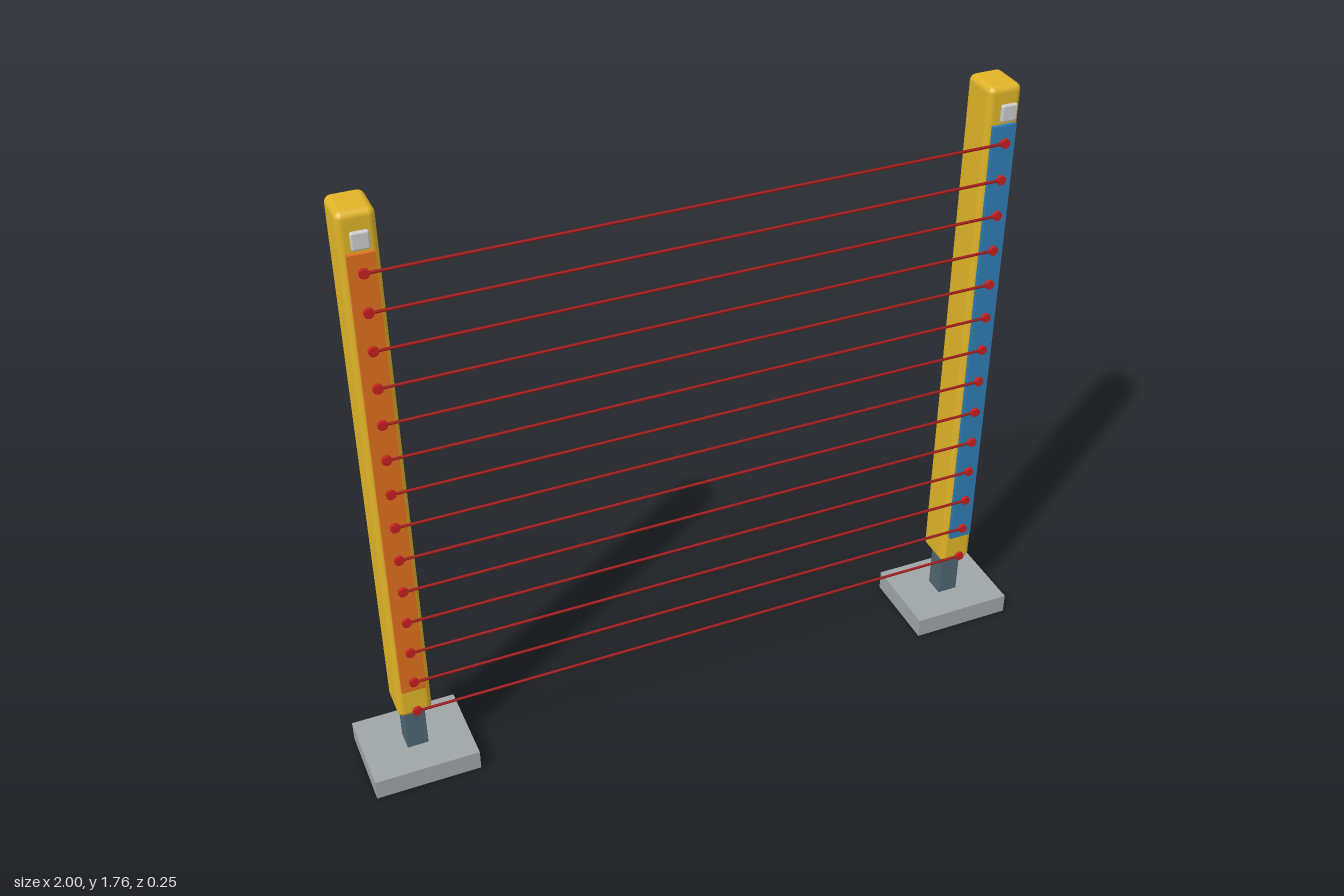
import * as THREE from 'three';
import { RoundedBoxGeometry } from 'three/addons/geometries/RoundedBoxGeometry.js';

const paint = (color) => new THREE.MeshStandardMaterial({ color });
const yellow = paint(0xe0b428), steel = paint(0x4f6672), grey = paint(0x9fa5a8), black = paint(0x222426);
const red = paint(0xc62020), beamRed = paint(0xa01818), pale = paint(0xcccccc);
const orange = paint(0xe0701e), blue = paint(0x2f7db3);

const POST_X = 0.85, BEAMS = 14, FIRST_Y = 0.231, LAST_Y = 1.608, BEAM_Z = 0.076;

function add(parent, name, geometry, material, x, y, z) {
  const mesh = new THREE.Mesh(geometry, material);
  mesh.name = name;
  mesh.position.set(x, y, z);
  parent.add(mesh);
  return mesh;
}

const beamY = (i) => FIRST_Y + ((LAST_Y - FIRST_Y) * i) / (BEAMS - 1);

// One sensor column on its foot
function makeColumn(name, panelMaterial) {
  const column = new THREE.Group();
  column.name = name;
  add(column, 'basePlate', new THREE.BoxGeometry(0.3, 0.06, 0.252), grey, 0, 0.03, 0);
  add(column, 'stand', new THREE.BoxGeometry(0.06, 0.16, 0.06), steel, 0, 0.13, 0);
  add(column, 'housing', new RoundedBoxGeometry(0.096, 1.56, 0.116, 4, 0.018), yellow, 0, 0.98, 0);
  add(column, 'frontPanel', new THREE.BoxGeometry(0.068, 1.355, 0.014), panelMaterial, 0, 0.978, 0.062);
  add(column, 'statusWindow', new RoundedBoxGeometry(0.046, 0.048, 0.014, 3, 0.006), pale, 0, 1.696, 0.077);

  // Cable socket low on the back
  const socket = new THREE.CylinderGeometry(0.027, 0.027, 0.052, 24).rotateX(Math.PI / 2);
  add(column, 'cableSocket', socket, black, 0, 0.258, -0.076);

  // Row of round lenses
  const lens = new THREE.CylinderGeometry(0.013, 0.013, 0.01, 16).rotateX(Math.PI / 2);
  for (let i = 0; i < BEAMS; i++) add(column, 'lens', lens, red, 0, beamY(i), BEAM_Z);
  return column;
}

export function createModel() {
  const model = new THREE.Group();
  model.name = 'lightCurtain';

  const right = makeColumn('rightColumn', orange);
  right.position.x = -POST_X;
  const left = makeColumn('leftColumn', blue);
  left.position.x = POST_X;
  model.add(right, left);

  // Beams spanning the two columns
  const beam = new THREE.CylinderGeometry(0.004, 0.004, POST_X * 2, 10).rotateZ(Math.PI / 2);
  for (let i = 0; i < BEAMS; i++) add(model, 'beam', beam, beamRed, 0, beamY(i), BEAM_Z);
  return model;
}
